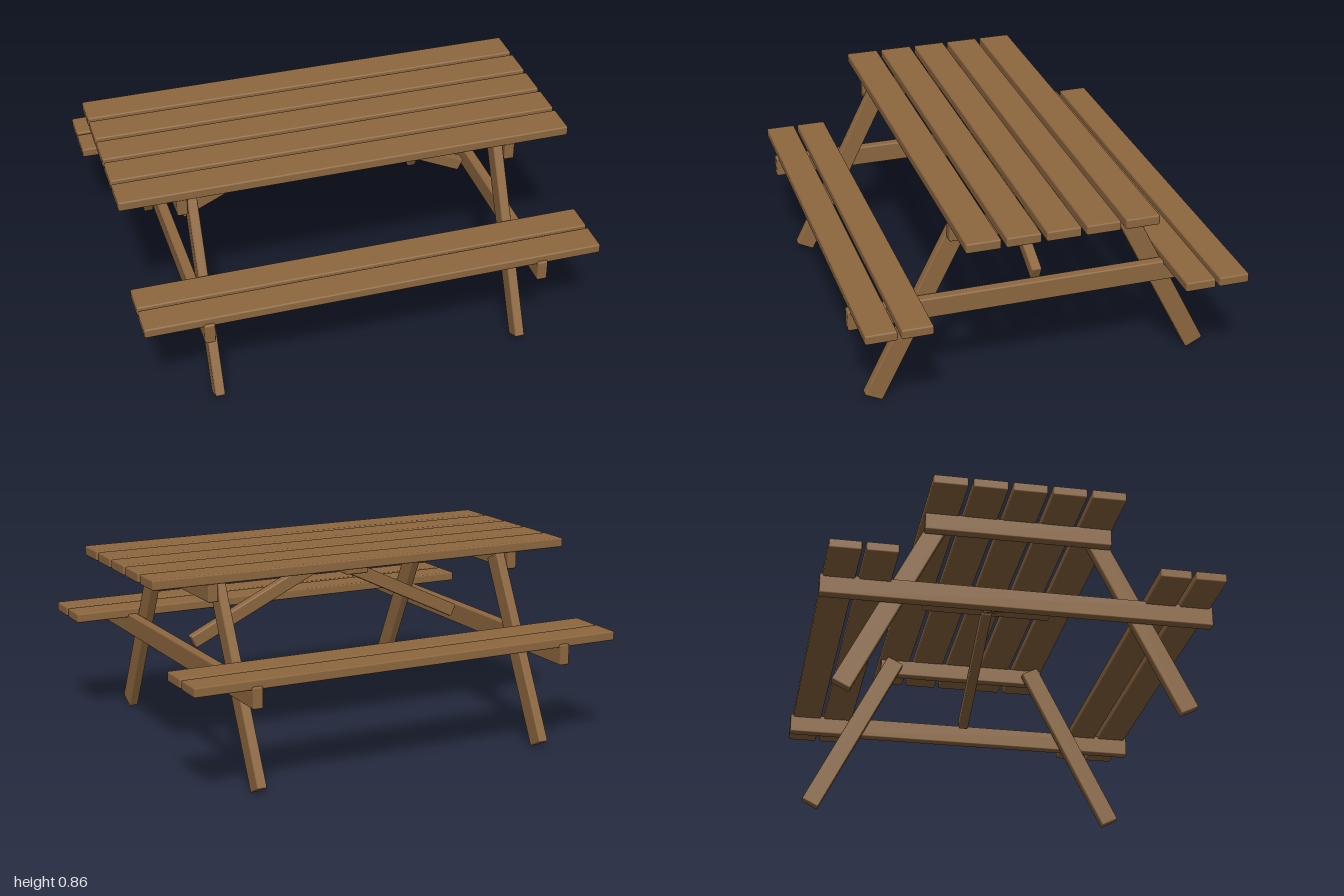
import * as THREE from 'three';
import { RoundedBoxGeometry } from 'three/addons/geometries/RoundedBoxGeometry.js';

const wood = new THREE.MeshStandardMaterial({ color: 0x8d673f });
wood.name = 'brown wood';

export function createModel() {
  const table = new THREE.Group();
  table.name = 'picnicTable';

  // Timber with softened edges, placed by its centre
  function timber(name, size, position) {
    const mesh = new THREE.Mesh(new RoundedBoxGeometry(...size, 1, 0.007), wood);
    mesh.name = name;
    mesh.position.set(...position);
    table.add(mesh);
    return mesh;
  }

  // Sloping timber whose local y axis runs between two points
  function beam(name, from, to, width, depth) {
    const a = new THREE.Vector3(...from);
    const b = new THREE.Vector3(...to);
    const mid = a.clone().add(b).multiplyScalar(0.5);
    const mesh = timber(name, [width, a.distanceTo(b), depth], mid.toArray());
    const direction = b.sub(a).normalize();
    mesh.quaternion.setFromUnitVectors(new THREE.Vector3(0, 1, 0), direction);
  }

  // Table top boards
  for (let i = -2; i <= 2; i++) {
    timber('topBoard', [2, 0.043, 0.147], [0, 0.844, i * 0.168]);
  }

  // Cleat under the middle of the top
  timber('centreCleat', [0.108, 0.048, 0.6], [0, 0.798, 0]);

  for (const side of [-1, 1]) {
    // Bench boards at the front and back
    for (const z of [0.61, 0.76]) {
      timber('seatBoard', [2, 0.042, 0.134], [0, 0.5, side * z]);
    }

    // Cross bearers under the top and the seats
    timber('topBearer', [0.046, 0.082, 0.812], [side * 0.731, 0.787, 0]);
    timber('seatBearer', [0.046, 0.092, 1.68], [side * 0.731, 0.448, 0]);

    // Splayed legs
    for (const end of [-1, 1]) {
      beam('leg', [side * 0.684, 0.022, end * 0.7325],
        [side * 0.684, 0.803, end * 0.339], 0.044, 0.086);
    }

    // Diagonal brace from the leg frame to the cleat
    beam('brace', [side * 0.662, 0.478, 0], [side * 0.015, 0.786, 0], 0.06, 0.046);
  }

  return table;
}
